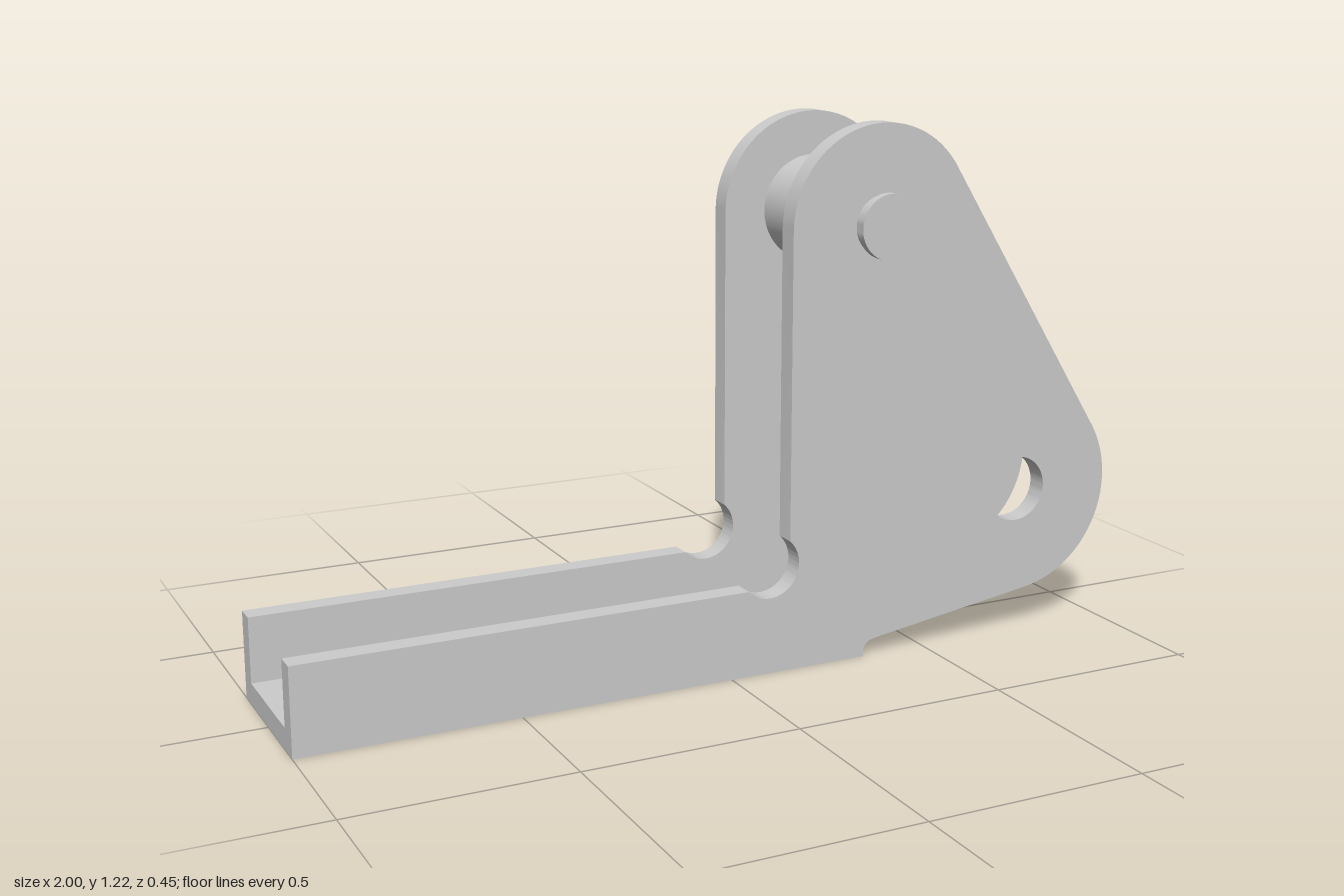
import * as THREE from 'three';
import { toCreasedNormals } from 'three/addons/utils/BufferGeometryUtils.js';

const INNER = 0.137, WALL = 0.05, FLOOR = 0.05;
const PIVOT = [0.37, 1.0], LOBE = [0.75, 0.35];
const rad = THREE.MathUtils.degToRad;

function circlePath(x, y, r) {
  return new THREE.Path().absarc(x, y, r, 0, Math.PI * 2, true);
}

function extrude(shape, depth) {
  const geo = new THREE.ExtrudeGeometry(shape, { depth, bevelEnabled: false, curveSegments: 32 });
  return toCreasedNormals(geo, 0.5);
}

// Side plate outline: low rail at the left, rounded triangular ear at the right
function plateShape() {
  const s = new THREE.Shape();
  s.moveTo(-1, 0);
  s.lineTo(0.34, 0);
  s.lineTo(0.34, 0.015);
  s.quadraticCurveTo(0.345, 0.037, 0.37, 0.04);
  s.absarc(...LOBE, 0.25, rad(-81.4), rad(32.2), false);
  s.absarc(...PIVOT, 0.225, rad(32.2), Math.PI, false);
  s.lineTo(0.145, 0.305);
  // round relief cut between ear and rail
  s.absarc(0.095, 0.25, 0.073, rad(47), rad(-137), true);
  s.lineTo(0.035, 0.2);
  s.lineTo(-1, 0.2);
  s.closePath();
  s.holes.push(circlePath(...LOBE, 0.077));
  return s;
}

// Floor of the channel with its screw holes and the bulged rectangular window
function floorShape() {
  const s = new THREE.Shape();
  s.moveTo(-1, -INNER);
  s.lineTo(0.34, -INNER);
  s.lineTo(0.34, INNER);
  s.lineTo(-1, INNER);
  s.closePath();
  for (const [x, r] of [[-0.88, 0.042], [-0.723, 0.027], [-0.136, 0.027], [0.02, 0.042]]) {
    s.holes.push(circlePath(x, 0, r));
  }
  const h = 0.108, r = 0.136, a = Math.asin(h / r), cx = -0.473;
  const w = new THREE.Path();
  w.moveTo(-0.683, -h);
  w.absarc(cx, 0, r, Math.PI + a, Math.PI * 2 - a, false);
  w.lineTo(-0.178, -h);
  w.lineTo(-0.178, h);
  w.absarc(cx, 0, r, a, Math.PI - a, false);
  w.lineTo(-0.683, h);
  w.closePath();
  s.holes.push(w);
  return s;
}

// Solid of revolution about the z axis through the pivot
function turned(points, material, name) {
  const geo = new THREE.LatheGeometry(points.map(([r, z]) => new THREE.Vector2(r, z)), 48);
  geo.rotateX(Math.PI / 2);
  const mesh = new THREE.Mesh(toCreasedNormals(geo, 0.5), material);
  mesh.position.set(...PIVOT, 0);
  mesh.name = name;
  return mesh;
}

export function createModel() {
  const group = new THREE.Group();
  group.name = 'leverBracket';
  const material = new THREE.MeshStandardMaterial({ color: 0xcccccc });

  // Two side plates
  const plateGeo = extrude(plateShape(), WALL);
  for (const [name, z] of [['frontPlate', INNER], ['backPlate', -INNER - WALL]]) {
    const plate = new THREE.Mesh(plateGeo, material);
    plate.position.z = z;
    plate.name = name;
    group.add(plate);
  }

  // Channel floor
  const floorGeo = extrude(floorShape(), FLOOR);
  floorGeo.rotateX(-Math.PI / 2);
  const floor = new THREE.Mesh(floorGeo, material);
  floor.name = 'channelFloor';
  group.add(floor);

  // Pivot pin with a retaining groove near each end
  const R = 0.074, G = 0.068;
  group.add(turned([
    [0, -0.225], [R, -0.225], [R, -0.204], [G, -0.204], [G, -0.187], [R, -0.187],
    [R, 0.187], [G, 0.187], [G, 0.204], [R, 0.204], [R, 0.225], [0, 0.225],
  ], material, 'pivotPin'));

  // Roller on the rear half of the pin
  group.add(turned([
    [R, -INNER], [0.124, -INNER], [0.124, 0], [R, 0],
  ], material, 'roller'));

  return group;
}
